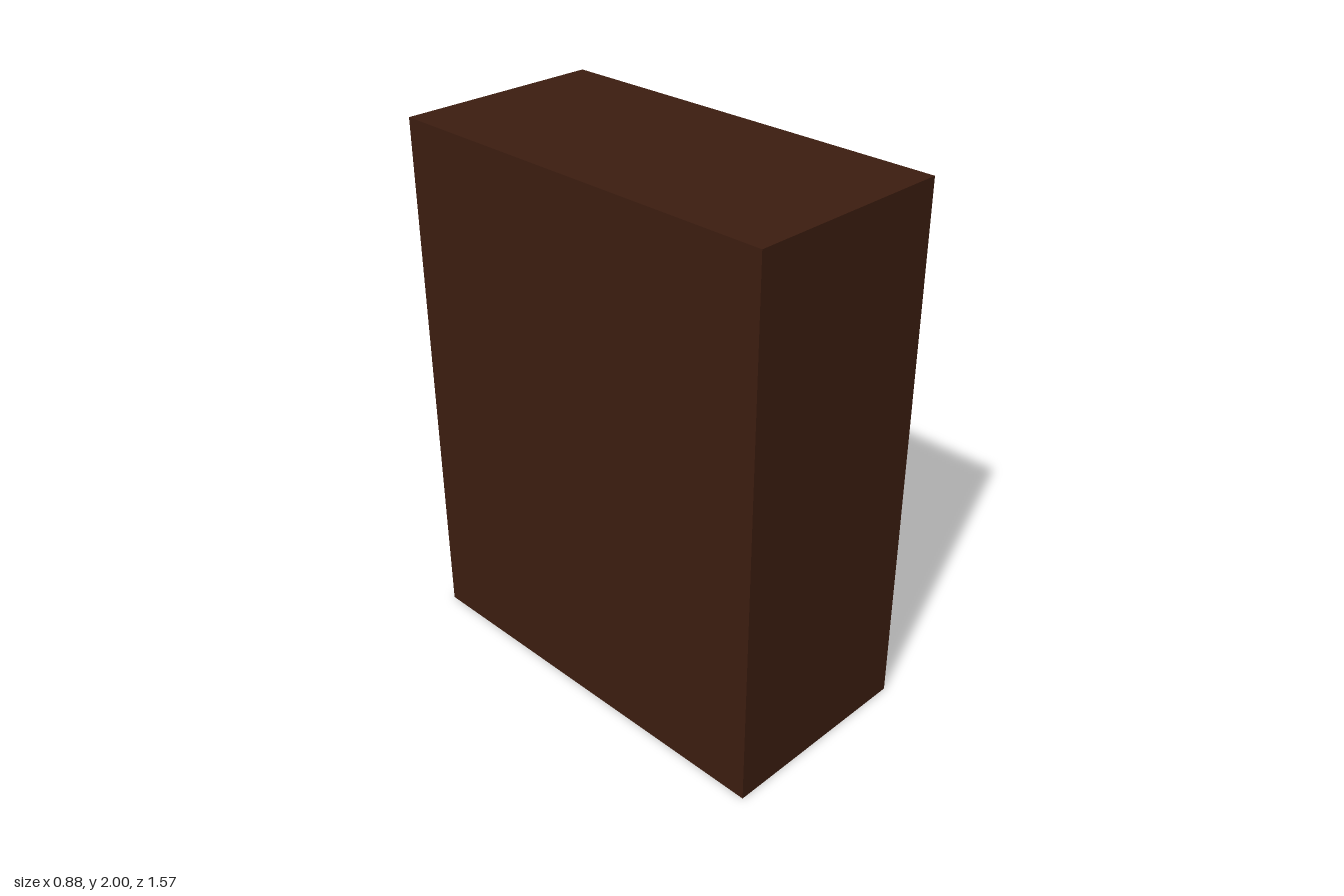
import * as THREE from 'three';

const bodyWood = new THREE.MeshStandardMaterial({ color: 0x3c1d10 });
const doorWood = new THREE.MeshStandardMaterial({ color: 0x3b1b10 });
const knobBlack = new THREE.MeshStandardMaterial({ color: 0x15151a });

function addMesh(parent, name, geometry, material, x = 0, y = 0, z = 0) {
  const mesh = new THREE.Mesh(geometry, material);
  mesh.name = name;
  mesh.position.set(x, y, z);
  parent.add(mesh);
  return mesh;
}

function trace(path, z0, y0, z1, y1) {
  path.moveTo(z0, y0);
  path.lineTo(z1, y0);
  path.lineTo(z1, y1);
  path.lineTo(z0, y1);
  path.closePath();
  return path;
}

// Rectangular frame lying in the z-y plane, centred on x = 0
function frameGeometry(outer, inner, depth) {
  const shape = trace(new THREE.Shape(), ...outer);
  shape.holes.push(trace(new THREE.Path(), ...inner));
  const geometry = new THREE.ExtrudeGeometry(shape, { depth, bevelEnabled: false });
  geometry.translate(0, 0, -depth / 2);
  geometry.rotateY(-Math.PI / 2);
  return geometry;
}

// Door hinged at its group origin; side = +1 reaches toward +z, -1 toward -z
function makeDoor(name, side) {
  const width = 0.74, bottom = 0.18, top = 1.925, rail = 0.038;
  const door = new THREE.Group();
  door.name = name;
  const middle = side * width / 2;
  const half = width / 2;
  addMesh(door, 'doorFrame', frameGeometry(
    [-half, bottom, half, top],
    [-half + rail, bottom + rail, half - rail, top - rail],
    0.022), doorWood, 0, 0, middle);
  addMesh(door, 'doorPanel', new THREE.BoxGeometry(0.008, top - bottom - 2 * rail, width - 2 * rail),
    doorWood, 0, (bottom + top) / 2, middle);
  addMesh(door, 'knob', new THREE.SphereGeometry(0.019, 24, 16), knobBlack,
    0.024, 1.1, side * (width - 0.02));
  return door;
}

export function createModel() {
  const model = new THREE.Group();
  model.name = 'cabinet';

  // Hollow case with a plinth below and a back board
  addMesh(model, 'case', frameGeometry(
    [-0.786, 0, 0.786, 2], [-0.741, 0.18, 0.746, 1.925], 0.76), bodyWood, -0.04);
  addMesh(model, 'backBoard', new THREE.BoxGeometry(0.02, 2, 1.572), bodyWood, -0.43, 1, 0);

  // One door shut, the other slightly ajar
  const shutDoor = makeDoor('shutDoor', -1);
  shutDoor.position.set(0.338, 0, 0.745);
  const openDoor = makeDoor('openDoor', 1);
  openDoor.position.set(0.338, 0, -0.74);
  openDoor.rotation.y = 0.08;
  model.add(shutDoor, openDoor);
  return model;
}
